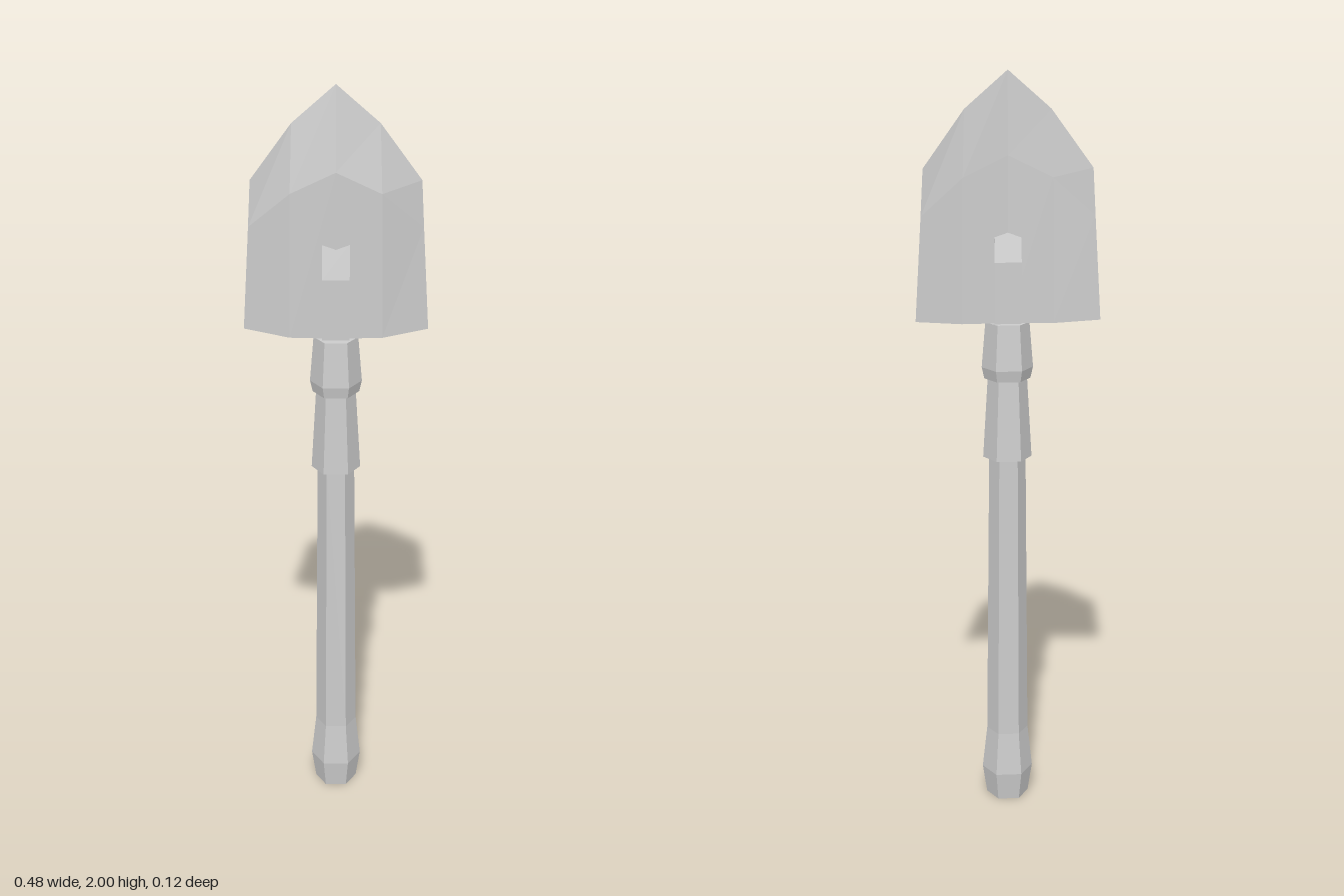
import * as THREE from 'three';

const material = new THREE.MeshStandardMaterial({ color: 0xcccccc, flatShading: true });

// Six-sided turned part with corners on the x axis; profile is [radius, y] from bottom to top
function hexPart(name, profile) {
  const points = profile.map(([r, y]) => new THREE.Vector2(r, y));
  const geometry = new THREE.LatheGeometry(points, 6, Math.PI / 2).toNonIndexed();
  geometry.computeVertexNormals();
  const mesh = new THREE.Mesh(geometry, material);
  mesh.name = name;
  return mesh;
}

// Bowed blade: three rows, each given from the centre line out to the edge
// as [x, y, front z, back z], mirrored to the other side
function blade() {
  const rows = [
    [[0, 1.36, 0.015, -0.015], [0.12, 1.36, 0.007, -0.023], [0.24, 1.37, -0.037, -0.037]],
    [[0, 1.79, 0.015, -0.015], [0.115, 1.735, 0.007, -0.023], [0.223, 1.64, -0.037, -0.037]],
    [[0, 2.0, -0.012, -0.012], [0.11, 1.905, -0.018, -0.018], [0.216, 1.76, -0.037, -0.037]],
  ].map(([mid, half, edge]) => {
    const flip = ([x, ...rest]) => [-x, ...rest];
    return [flip(edge), flip(half), mid, half, edge];
  });
  const front = (r, c) => [rows[r][c][0], rows[r][c][1], rows[r][c][2]];
  const back = (r, c) => [rows[r][c][0], rows[r][c][1], rows[r][c][3]];
  const positions = [];
  const quad = (a, b, c, d) => positions.push(...a, ...b, ...c, ...a, ...c, ...d);
  for (let c = 0; c < 4; c++) {
    for (let r = 0; r < 2; r++) {
      quad(front(r, c), front(r, c + 1), front(r + 1, c + 1), front(r + 1, c));
      quad(back(r, c + 1), back(r, c), back(r + 1, c), back(r + 1, c + 1));
    }
    // Bottom rim
    quad(back(0, c), back(0, c + 1), front(0, c + 1), front(0, c));
  }
  const geometry = new THREE.BufferGeometry();
  geometry.setAttribute('position', new THREE.Float32BufferAttribute(positions, 3));
  geometry.computeVertexNormals();
  const mesh = new THREE.Mesh(geometry, material);
  mesh.name = 'blade';
  return mesh;
}

// Tang running up both faces of the blade, sloping into it at the top
function tang() {
  const profile = [[-0.03, 1.34], [0.03, 1.34], [0.03, 1.52], [0.012, 1.61], [-0.012, 1.61], [-0.03, 1.52]];
  const shape = new THREE.Shape(profile.map(([z, y]) => new THREE.Vector2(z, y)));
  const geometry = new THREE.ExtrudeGeometry(shape, { depth: 0.07, bevelEnabled: false });
  geometry.rotateY(-Math.PI / 2).translate(0.035, 0, 0);
  const mesh = new THREE.Mesh(geometry, material);
  mesh.name = 'tang';
  return mesh;
}

export function createModel() {
  const group = new THREE.Group();
  group.name = 'shovel';
  group.add(
    // Shaft with a flared grip at its foot
    hexPart('handle', [[0, 0], [0.058, 0], [0.07, 0.08], [0.057, 0.2], [0.049, 1.0]]),
    // Flared socket around the top of the shaft
    hexPart('socket', [[0, 0.995], [0.065, 0.995], [0.052, 1.215]]),
    // Collar nut below the blade
    hexPart('collar', [[0, 1.21], [0.061, 1.21], [0.068, 1.24], [0.058, 1.36], [0, 1.36]]),
    tang(),
    blade(),
  );
  return group;
}
